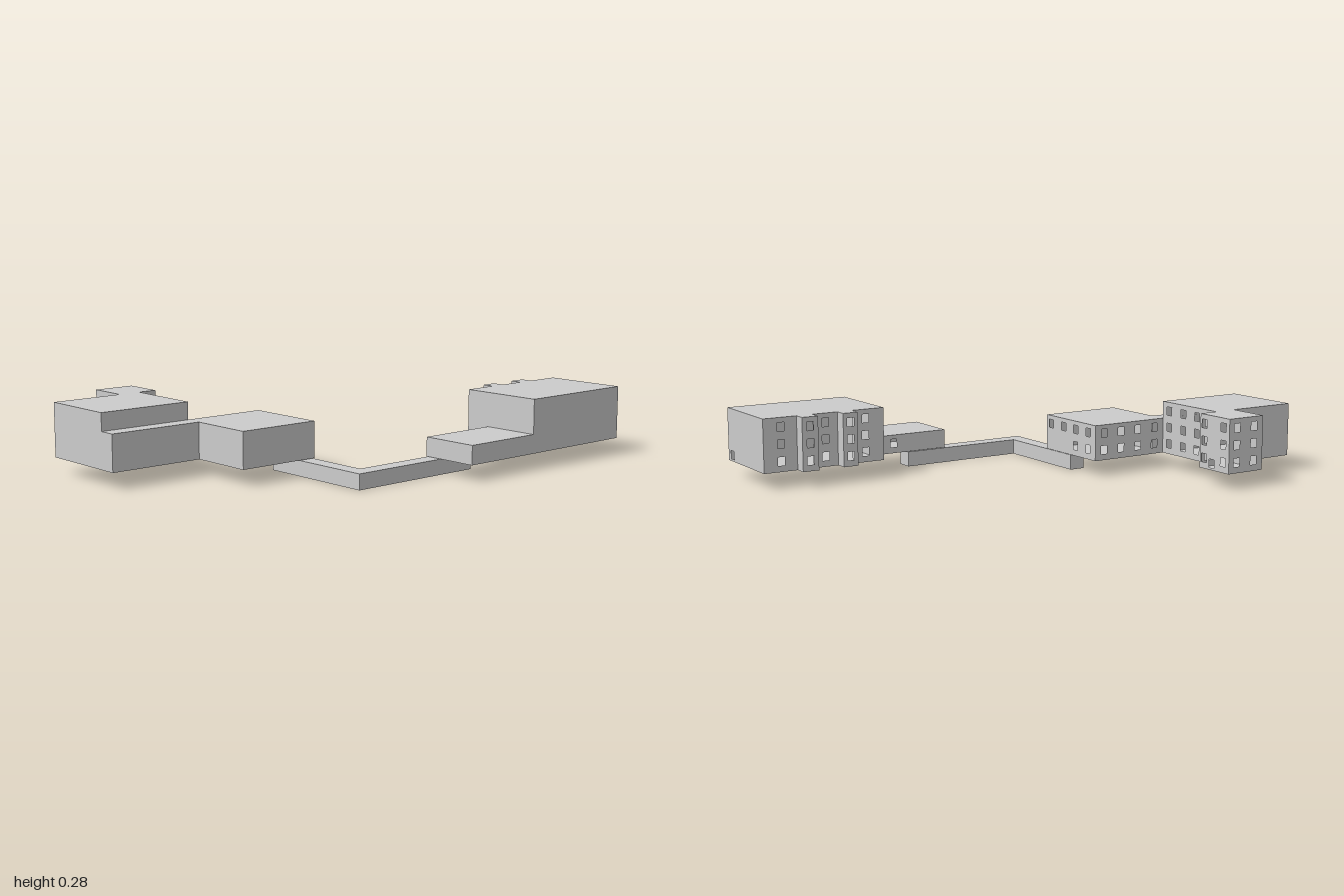
import * as THREE from 'three';

const material = new THREE.MeshStandardMaterial({ color: 0xcccccc, side: THREE.DoubleSide });
const WINDOW_W = 0.03, WINDOW_H = 0.035;
const ROWS = [0.108, 0.178, 0.247];
const BASE = 0.065;

function addMesh(group, name, geometry) {
  const mesh = new THREE.Mesh(geometry, material);
  mesh.name = name;
  group.add(mesh);
  return mesh;
}

// Rectangle path centred on (cx, cy)
function rect(PathType, cx, cy, w, h) {
  return new PathType([[-1, -1], [1, -1], [1, 1], [-1, 1]].map(
    ([sx, sy]) => new THREE.Vector2(cx + sx * w / 2, cy + sy * h / 2)));
}

// Window centres for every column on every row
const grid = (columns, rows) => columns.flatMap(c => rows.map(r => [c, r]));

// Hollow block over an [x, z] footprint that starts along a front wall toward +x.
// openings: wall index -> list of [x or z position along the wall, height]
function building(name, points, y0, y1, openings = {}) {
  const group = new THREE.Group();
  group.name = name;
  points.forEach(([ax, az], i) => {
    const [bx, bz] = points[(i + 1) % points.length];
    const dx = bx - ax, dz = bz - az, length = Math.hypot(dx, dz);
    const wall = rect(THREE.Shape, length / 2, (y0 + y1) / 2, length, y1 - y0);
    for (const [position, height] of openings[i] || []) {
      const along = Math.abs(position - (Math.abs(dx) > Math.abs(dz) ? ax : az));
      wall.holes.push(rect(THREE.Path, along, height, WINDOW_W, WINDOW_H));
    }
    const mesh = addMesh(group, 'wall', new THREE.ShapeGeometry(wall));
    mesh.position.set(ax, 0, az);
    mesh.rotation.y = Math.atan2(-dz, dx);
  });
  // Flat roof and floor slab
  const plan = sign => new THREE.Shape(points.map(([x, z]) => new THREE.Vector2(x, sign * z)));
  addMesh(group, 'roof', new THREE.ShapeGeometry(plan(-1)).rotateX(-Math.PI / 2).translate(0, y1, 0));
  addMesh(group, 'floor', new THREE.ShapeGeometry(plan(1)).rotateX(Math.PI / 2).translate(0, y0, 0));
  return group;
}

export function createModel() {
  const model = new THREE.Group();
  model.name = 'buildingComplex';

  // Tall rear block with its corner tower
  model.add(building('rearBlock', [
    [-1, -0.175], [-0.6, -0.175], [-0.6, -0.513], [-0.52, -0.513],
    [-0.52, -0.687], [-0.695, -0.687], [-0.695, -0.513], [-1, -0.513],
  ], BASE, 0.285, {
    1: grid([-0.218, -0.31, -0.397, -0.485], ROWS),
    2: grid([-0.56], ROWS),
    3: [...grid([-0.538, -0.652], ROWS), [-0.585, 0.0915]],
    4: grid([-0.56, -0.648], ROWS),
  }));

  // Two-storey middle block and the strip in front of the rear block
  model.add(building('middleBlock', [
    [-1, -0.105], [-0.6, -0.105], [-0.6, 0.173], [-0.245, 0.173],
    [-0.245, -0.177], [-0.6, -0.177], [-1, -0.177],
  ], BASE, 0.213, {
    3: [...grid([0.141, 0.049], [ROWS[1]]), ...grid([-0.038, -0.126], ROWS.slice(0, 2))],
    4: grid([-0.29, -0.377, -0.465, -0.553], ROWS.slice(0, 2)),
  }));

  // L-shaped link corridor at ground level
  model.add(building('corridor', [
    [-0.315, 0.51], [0.29, 0.51], [0.29, 0.44], [-0.247, 0.44], [-0.247, 0], [-0.315, 0],
  ], 0, 0.063));

  // Low annex
  model.add(building('annex', [
    [0.11, 0.685], [0.465, 0.685], [0.465, 0.44], [0.11, 0.44],
  ], BASE, 0.143, { 2: grid([0.435, 0.36], [ROWS[0]]) }));

  // Tall front block with two projecting bays at the back
  model.add(building('frontBlock', [
    [0.465, 0.685], [1, 0.685], [1, 0.33], [0.855, 0.33], [0.855, 0.28], [0.785, 0.28],
    [0.785, 0.33], [0.675, 0.33], [0.675, 0.28], [0.61, 0.28], [0.61, 0.33], [0.465, 0.33],
  ], BASE, 0.285, {
    1: [[0.645, 0.0915]],
    2: grid([0.925], ROWS),
    4: grid([0.82], ROWS),
    6: grid([0.73], ROWS),
    8: grid([0.642], ROWS),
    10: grid([0.55], ROWS),
  }));

  return model;
}
